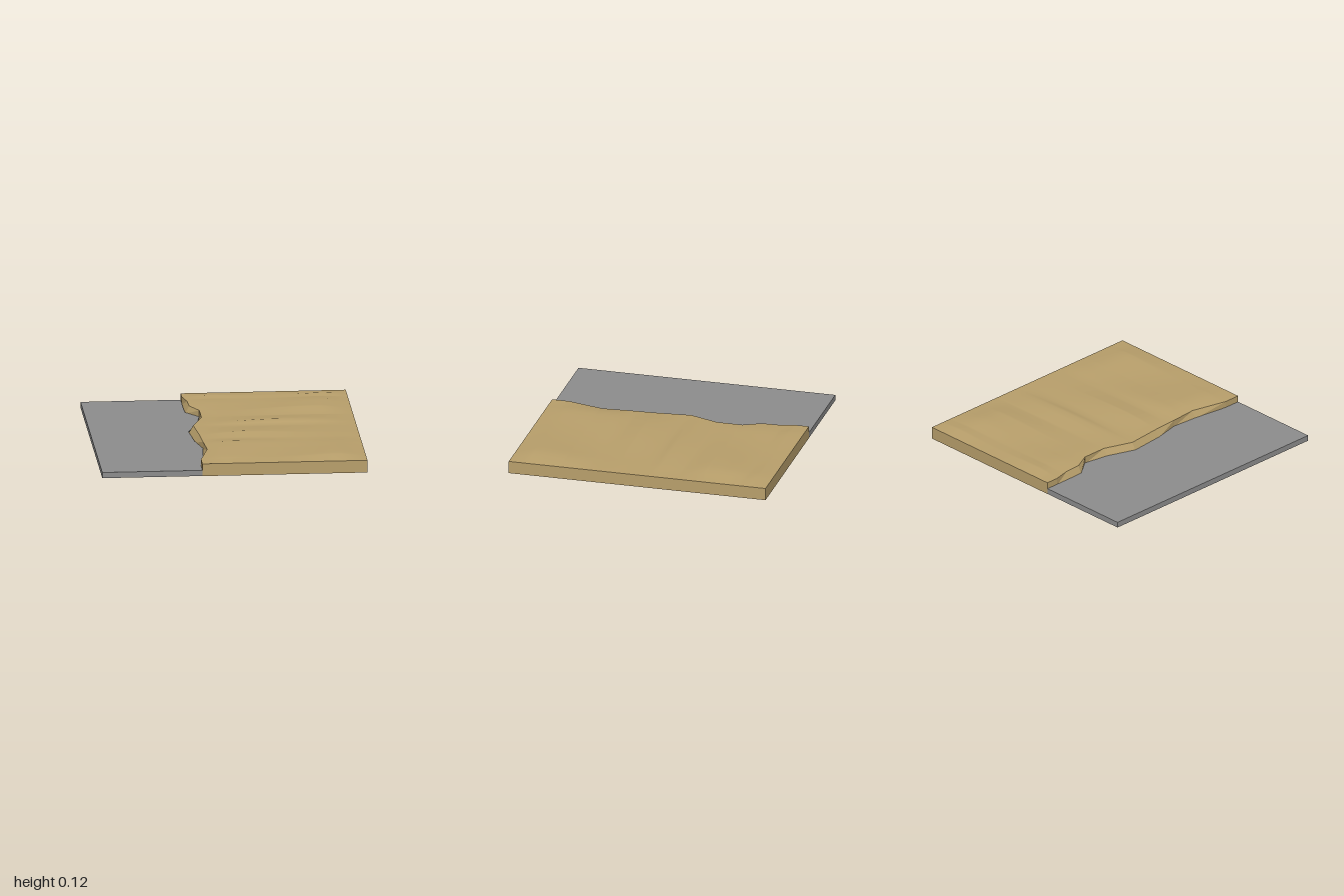
import * as THREE from 'three';

const SEA = 0.045, LAND = 0.095, RELIEF = 0.025;

// Shoreline stations: [z, x at the foot of the bank, x at its top]
const shore = [
  [-1, -0.245, -0.245], [-0.9, -0.245, -0.245], [-0.77, -0.245, -0.215],
  [-0.64, -0.24, -0.21], [-0.51, -0.145, -0.145], [-0.31, -0.18, -0.145],
  [-0.09, -0.26, -0.225], [0.18, -0.235, -0.2], [0.38, -0.19, -0.19],
  [0.59, -0.205, -0.175], [0.87, -0.245, -0.245], [1, -0.245, -0.245],
];

// Gentle ridges of the land along z and along x: [position, strength]
const ridgeZ = [[-1, 0], [-0.88, 0.9], [-0.82, 0.4], [-0.7, 1], [-0.48, 1], [-0.33, 0.1],
  [-0.14, 1], [-0.05, 0.1], [0.18, 1], [0.33, 0.3], [0.45, 1], [0.85, 1], [1, 0]];
const ridgeX = [[-0.25, 0], [-0.2, 0.05], [-0.05, 0.9], [0.1, 1], [0.8, 1], [1, 0]];

function sample(table, t, column = 1) {
  for (let i = 1; i < table.length; i++) {
    const a = table[i - 1], b = table[i];
    if (t <= b[0]) return a[column] + (b[column] - a[column]) * Math.max(0, (t - a[0]) / (b[0] - a[0]));
  }
  return table[table.length - 1][column];
}

// Smooth sheet from rows of points; rows run along z
function sheet(rows) {
  const n = rows[0].length, index = [];
  for (let i = 0; i < rows.length - 1; i++) {
    for (let j = 0; j < n - 1; j++) {
      const a = i * n + j, b = a + n;
      index.push(a, b, b + 1, a, b + 1, a + 1);
    }
  }
  const g = new THREE.BufferGeometry();
  g.setAttribute('position', new THREE.Float32BufferAttribute(rows.flat(2), 3));
  g.setIndex(index);
  g.computeVertexNormals();
  return g;
}

export function createModel() {
  const model = new THREE.Group();
  const sand = new THREE.MeshStandardMaterial({ color: 0xb89f6b });
  sand.name = 'sand';
  const water = new THREE.MeshStandardMaterial({ color: 0x8c8c8c });
  water.name = 'grey water';

  const add = (name, geometry, material) => {
    const mesh = new THREE.Mesh(geometry, material);
    mesh.name = name;
    model.add(mesh);
    return mesh;
  };

  // Grey slab that follows the foot of the bank
  const outline = new THREE.Shape();
  outline.moveTo(-1, -1);
  shore.forEach(([z, foot]) => outline.lineTo(foot, z));
  outline.lineTo(-1, 1);
  const slab = new THREE.ExtrudeGeometry(outline, { depth: SEA - 0.001, bevelEnabled: false });
  add('waterSlab', slab.rotateX(Math.PI / 2).translate(0, SEA, 0), water);

  // Softly rolling top of the land; stations include every shoreline corner
  const stations = [...new Set([...shore.map((s) => s[0]), ...ridgeZ.map((r) => r[0]),
    ...Array.from({ length: 21 }, (_, i) => -1 + i / 10)])].sort((a, b) => a - b);
  const columns = 20;
  add('landTop', sheet(stations.map((z) => {
    const edge = sample(shore, z, 2);
    return Array.from({ length: columns + 1 }, (_, j) => {
      const x = edge + (1 - edge) * j / columns;
      const wave = 0.6 + 0.4 * Math.sin(5 * x + 4 * z);
      const inland = j === 0 ? 0 : sample(ridgeX, x);
      return [x, LAND + RELIEF * sample(ridgeZ, z) * inland * wave, z];
    });
  })), sand);

  // Faceted bank between water and land
  const bank = sheet(shore.map(([z, foot, top]) => [[foot, SEA - 0.01, z], [top, LAND, z]])).toNonIndexed();
  bank.computeVertexNormals();
  add('shoreBank', bank, sand);

  // Outer walls of the land
  const width = 1.245, middle = 1 - width / 2;
  const wall = (name, w, x, z, turn) => {
    const mesh = add(name, new THREE.PlaneGeometry(w, LAND), sand);
    mesh.position.set(x, LAND / 2, z);
    mesh.rotation.y = turn;
  };
  wall('frontWall', width, middle, 1, 0);
  wall('backWall', width, middle, -1, Math.PI);
  wall('leftWall', 2, 1, 0, Math.PI / 2);

  // Underside
  add('underside', new THREE.PlaneGeometry(2, 2).rotateX(Math.PI / 2), sand);
  return model;
}
